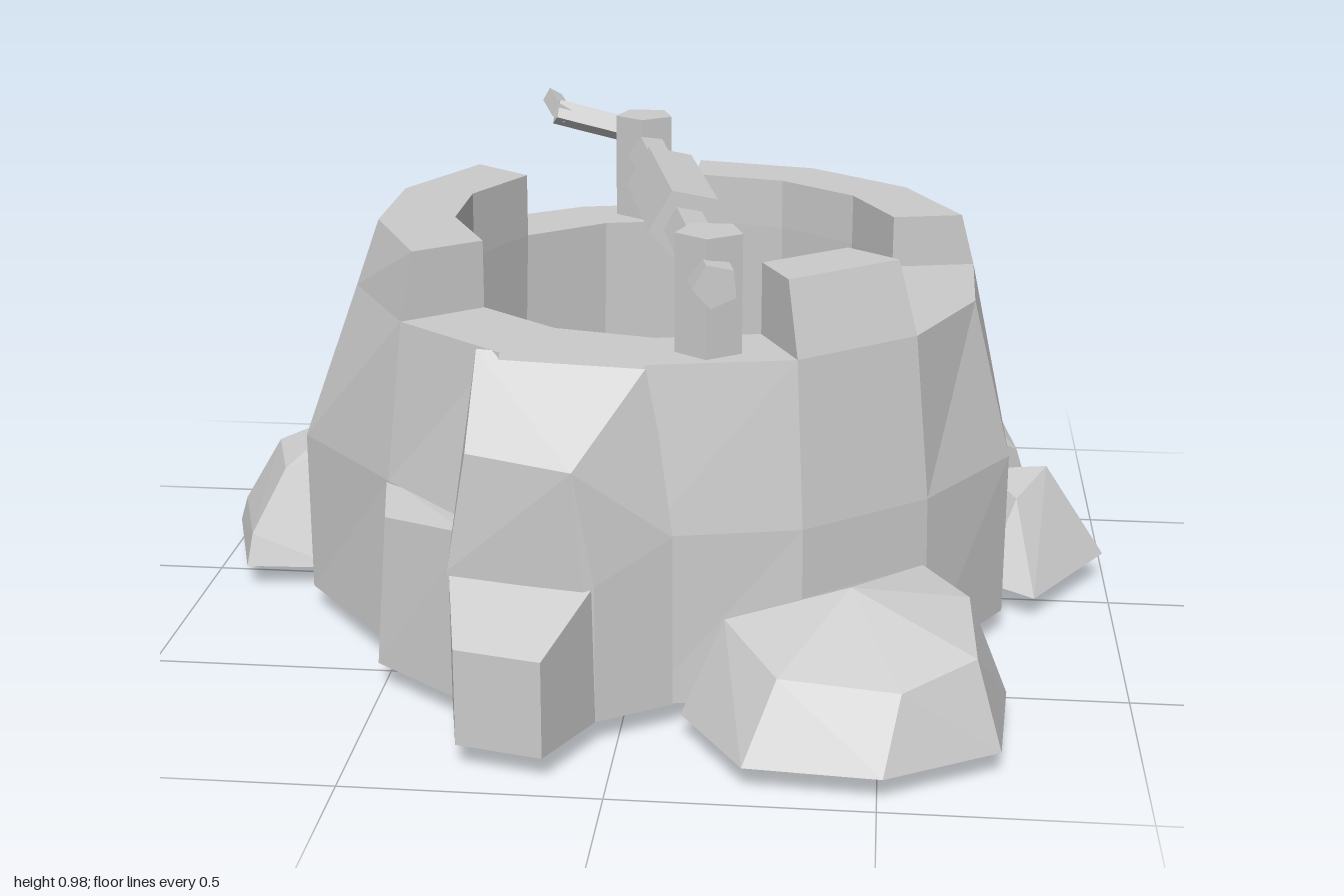
import * as THREE from 'three';
import { ConvexGeometry } from 'three/addons/geometries/ConvexGeometry.js';

const SIDES = 14, CX = 0.045, CZ = 0.015;
const V = (x, y, z) => new THREE.Vector3(x, y, z);
const stoneMat = new THREE.MeshStandardMaterial({ color: 0xcccccc, flatShading: true, side: THREE.DoubleSide });

// Point on the well's ring: k counts corners from the front towards +x
function ring(k, r, y) {
  const a = (k / SIDES) * Math.PI * 2;
  return V(CX + Math.sin(a) * r, y, CZ + Math.cos(a) * r);
}

// Skin a row of equal-length cross-sections, optionally closed and capped
function loft(sections, closedSection) {
  const pos = [];
  const tri = (...pts) => pts.forEach((p) => pos.push(p.x, p.y, p.z));
  const n = sections[0].length;
  for (let i = 0; i < sections.length - 1; i++) {
    const a = sections[i], b = sections[i + 1];
    for (let j = 0; j < (closedSection ? n : n - 1); j++) {
      const m = (j + 1) % n;
      tri(a[j], b[j], b[m]);
      tri(a[j], b[m], a[m]);
    }
  }
  if (closedSection) {
    const s = sections[0], e = sections[sections.length - 1];
    for (let j = 1; j < n - 1; j++) {
      tri(s[0], s[j], s[j + 1]);
      tri(e[0], e[j + 1], e[j]);
    }
  }
  const g = new THREE.BufferGeometry();
  g.setAttribute('position', new THREE.Float32BufferAttribute(pos, 3));
  g.computeVertexNormals();
  return g;
}

export function createModel() {
  const group = new THREE.Group();
  const add = (name, geometry) => {
    const mesh = new THREE.Mesh(geometry, stoneMat);
    mesh.name = name;
    group.add(mesh);
    return mesh;
  };
  const stone = (name, pts) => add(name, new ConvexGeometry(pts.map((p) => V(...p))));

  // Uneven outer wall, rim and inner shaft that reaches the ground
  const base = [0.69, 0.70, 0.70, 0.73, 0.73, 0.70, 0.75, 0.74, 0.74, 0.74, 0.70, 0.80, 0.72, 0.74];
  const mid = [0.69, 0.69, 0.69, 0.73, 0.72, 0.69, 0.71, 0.72, 0.73, 0.72, 0.71, 0.80, 0.70, 0.74];
  const rim = [0.645, 0.65, 0.65, 0.645, 0.65, 0.66, 0.66, 0.64, 0.64, 0.66, 0.69, 0.68, 0.66, 0.66];
  const sections = [];
  for (let k = 0; k <= SIDES; k++) {
    const i = k % SIDES;
    sections.push([
      ring(k, base[i], 0.05), ring(k, mid[i], 0.4), ring(k, rim[i], 0.73),
      ring(k, 0.47, 0.73), ring(k, 0.5, 0),
    ]);
  }
  add('wall', loft(sections, false));

  // Raised blocks along the rim: first corner, last corner, height, top radius
  for (const [from, to, h, r] of [[1, 2, 0.875, 0.60], [4, 7, 0.84, 0.62], [9, 12, 0.87, 0.63]]) {
    const block = [];
    for (let k = from; k <= to; k++) {
      block.push([ring(k, rim[k], 0.73), ring(k, r, h), ring(k, 0.47, h), ring(k, 0.47, 0.73)]);
    }
    add('rimBlock', loft(block, true));
  }

  // Front buttress: leaning upper stone on a squat lower stone
  stone('upperButtress', [
    [-0.29, 0.73, 0.59], [0.05, 0.73, 0.655], [-0.29, 0.57, 0.74], [-0.08, 0.56, 0.80],
    [-0.33, 0.33, 0.74], [-0.04, 0.33, 0.79], [0.1, 0.4, 0.70], [-0.3, 0.05, 0.74],
    [-0.04, 0.05, 0.79], [0.1, 0.05, 0.70], [-0.2, 0.05, 0.6],
  ]);
  stone('lowerButtress', [
    [-0.33, 0.33, 0.72], [-0.04, 0.33, 0.78], [-0.29, 0.245, 0.91], [-0.12, 0.245, 0.95],
    [-0.29, 0.05, 0.91], [-0.12, 0.05, 0.95], [-0.04, 0.05, 0.79], [-0.33, 0.05, 0.72],
  ]);

  // Slabs bulging from the foot of the wall
  stone('frontSlab', [
    [-0.51, 0.05, 0.42], [-0.51, 0.05, 0.57], [-0.29, 0.05, 0.74], [-0.25, 0.05, 0.6],
    [-0.51, 0.4, 0.43], [-0.49, 0.36, 0.55], [-0.29, 0.4, 0.72], [-0.25, 0.4, 0.6],
  ]);
  stone('backSlab', [
    [-0.08, 0.03, -0.79], [-0.33, 0.03, -0.745], [-0.51, 0.03, -0.59], [-0.52, 0.03, -0.45],
    [-0.08, 0.28, -0.79], [-0.33, 0.28, -0.745], [-0.51, 0.28, -0.59], [-0.52, 0.32, -0.45],
    [0.03, 0.4, -0.69], [-0.27, 0.42, -0.64], [-0.5, 0.4, -0.44], [0.04, 0.05, -0.7],
  ]);

  // Loose rocks around the foot
  stone('frontRock', [
    [0.12, 0.05, 0.74], [0.25, 0.05, 0.95], [0.51, 0.05, 0.97], [0.73, 0.05, 0.84],
    [0.75, 0.05, 0.58], [0.62, 0.05, 0.38], [0.4, 0.05, 0.5], [0.20, 0.235, 0.70],
    [0.31, 0.20, 0.88], [0.54, 0.19, 0.90], [0.68, 0.22, 0.80], [0.44, 0.295, 0.66],
    [0.67, 0.25, 0.58], [0.58, 0.26, 0.45],
  ]);
  stone('sideRock', [
    [-1, 0.05, -0.18], [-0.91, 0.05, 0.1], [-0.7, 0.05, 0.09], [-0.52, 0.05, -0.1],
    [-0.55, 0.05, -0.42], [-0.69, 0.05, -0.47], [-0.91, 0.05, -0.4], [-0.98, 0.11, -0.17],
    [-0.90, 0.12, 0.08], [-0.90, 0.12, -0.38], [-0.89, 0.26, -0.16], [-0.83, 0.26, 0.03],
    [-0.73, 0.33, -0.15], [-0.8, 0.26, -0.32], [-0.64, 0.27, -0.38], [-0.6, 0.33, -0.15],
  ]);
  stone('pointedRock', [
    [0.995, 0.06, -0.14], [0.83, 0.05, 0.11], [0.72, 0.06, 0.05], [0.82, 0.06, -0.22],
    [0.79, 0.23, -0.02], [0.86, 0.265, -0.14], [0.72, 0.25, -0.15],
  ]);
  stone('leaningRock', [
    [0.65, 0.39, -0.41], [0.69, 0.34, -0.14], [0.77, 0.27, -0.46], [0.80, 0.26, -0.26],
    [0.77, 0.04, -0.46], [0.87, 0.04, -0.27], [0.73, 0.04, -0.1], [0.6, 0.05, -0.4],
  ]);
  stone('backRock', [
    [0.02, 0.06, -0.98], [0.28, 0.06, -0.82], [0.2, 0.05, -0.69], [-0.09, 0.05, -0.8],
    [0.03, 0.05, -0.66], [0.2, 0.19, -0.82], [-0.06, 0.20, -0.85], [0.08, 0.27, -0.85],
    [0.05, 0.22, -0.69],
  ]);

  // Five-sided winch bars between two points
  const bar = (name, a, b, r, sides = 5) => {
    const dir = b.clone().sub(a);
    const mesh = add(name, new THREE.CylinderGeometry(r, r, dir.length(), sides));
    mesh.position.copy(a).add(b).multiplyScalar(0.5);
    mesh.quaternion.setFromUnitVectors(V(0, 1, 0), dir.normalize());
  };
  bar('backPost', V(-0.08, 0.7, -0.52), V(-0.08, 0.965, -0.52), 0.068);
  bar('frontPost', V(0.155, 0.7, 0.55), V(0.155, 0.965, 0.55), 0.068);
  bar('axle', V(-0.11, 0.885, -0.67), V(0.175, 0.885, 0.655), 0.045);
  bar('drum', V(-0.005, 0.885, -0.2), V(0.085, 0.885, 0.21), 0.082);
  bar('crankArm', V(-0.08, 0.885, -0.66), V(-0.3, 0.95, -0.605), 0.032, 4);
  bar('crankGrip', V(-0.285, 0.95, -0.59), V(-0.335, 0.95, -0.78), 0.024, 4);
  return group;
}
